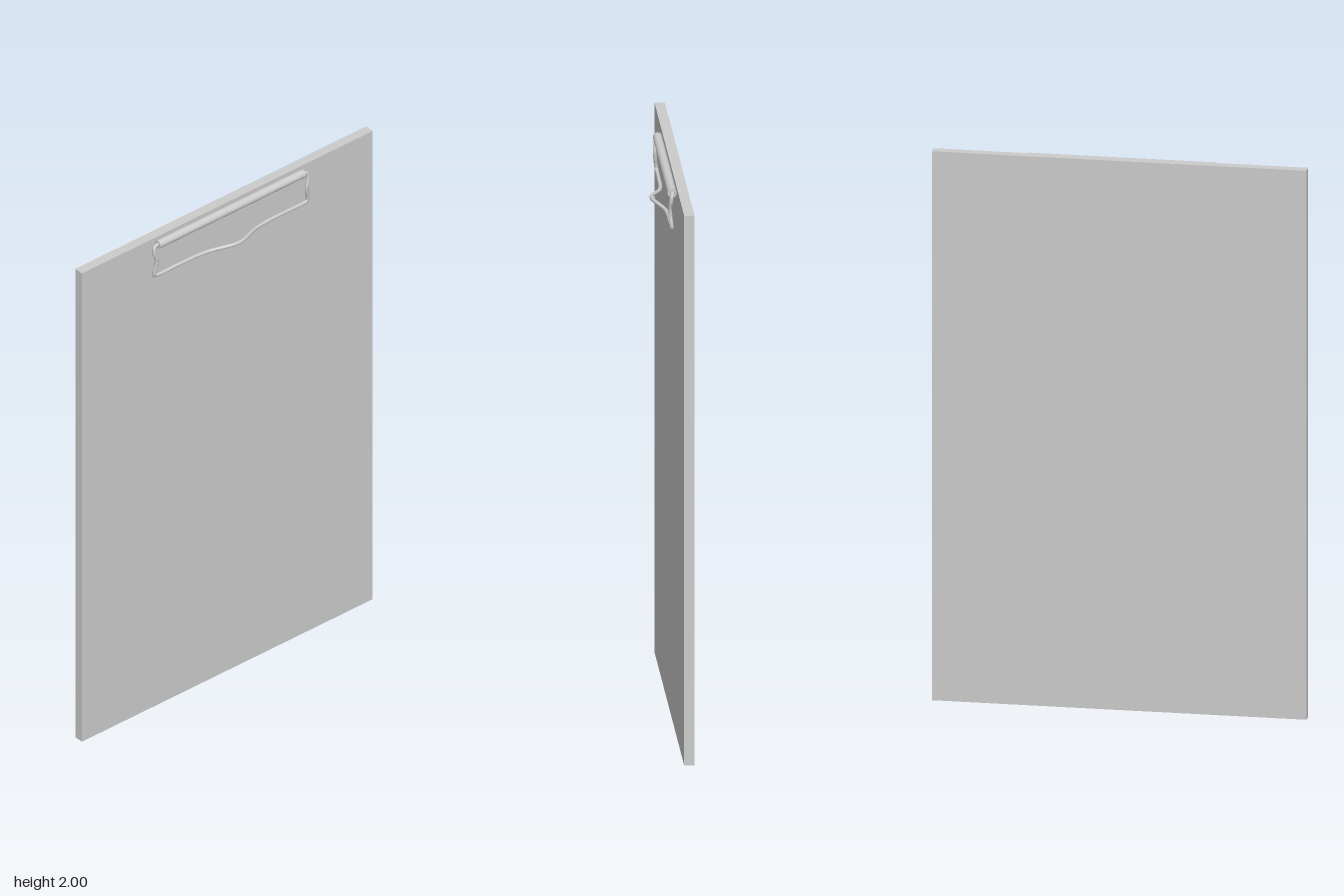
import * as THREE from 'three';

const material = new THREE.MeshStandardMaterial({ color: 0xcccccc });

function addMesh(parent, name, geometry, x = 0, y = 0, z = 0) {
  const mesh = new THREE.Mesh(geometry, material);
  mesh.name = name;
  mesh.position.set(x, y, z);
  parent.add(mesh);
  return mesh;
}

export function createModel() {
  const model = new THREE.Group();
  model.name = 'clipboard';

  // The whole clipboard stands turned about the vertical axis
  const body = new THREE.Group();
  body.name = 'turnedClipboard';
  body.rotation.y = 0.304;
  model.add(body);

  // Flat backing board
  addMesh(body, 'board', new THREE.BoxGeometry(1.32, 2, 0.036), 0, 1, 0);

  // Hinge tube lying along the top edge
  const hinge = addMesh(body, 'hingeTube', new THREE.CylinderGeometry(0.016, 0.016, 0.66, 24), 0, 1.98, 0.034);
  hinge.rotation.z = Math.PI / 2;

  // Half of the wire clip, from the hinge end to the raised thumb grip
  const half = [
    [0.31, 1.98, 0.034], [0.334, 1.98, 0.034], [0.346, 1.974, 0.036],
    [0.349, 1.955, 0.039], [0.341, 1.925, 0.042], [0.342, 1.9, 0.041],
    [0.348, 1.875, 0.038], [0.347, 1.858, 0.036], [0.333, 1.853, 0.035],
    [0.24, 1.854, 0.036], [0.15, 1.854, 0.038], [0.105, 1.855, 0.045],
    [0.06, 1.859, 0.063], [0.025, 1.862, 0.077],
  ];
  const points = [
    ...half.map(([x, y, z]) => new THREE.Vector3(-x, y, z)),
    new THREE.Vector3(0, 1.862, 0.08),
    ...half.slice().reverse().map((p) => new THREE.Vector3(...p)),
  ];
  const path = new THREE.CatmullRomCurve3(points, false, 'centripetal');
  addMesh(body, 'wireClip', new THREE.TubeGeometry(path, 260, 0.007, 10));

  return model;
}
